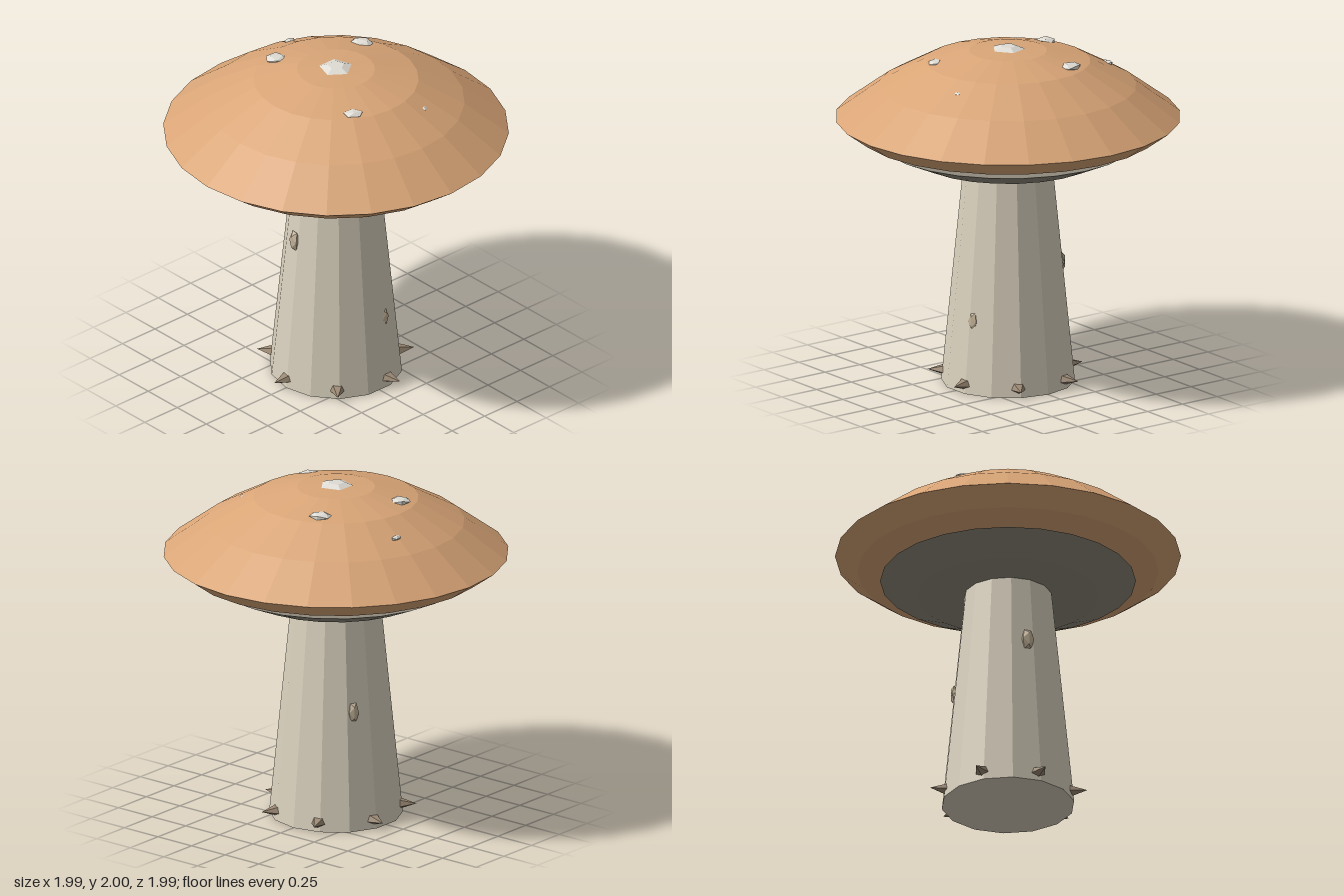
import * as THREE from 'three';

const mat = (color) => new THREE.MeshStandardMaterial({ color, flatShading: true });

function addMesh(parent, name, geometry, material, position = [0, 0, 0]) {
  const mesh = new THREE.Mesh(geometry, material);
  mesh.name = name;
  mesh.position.set(...position);
  parent.add(mesh);
  return mesh;
}

export function createModel() {
  const model = new THREE.Group();
  model.name = 'mushroom';
  const capMat = mat(0xd9a577);
  const gillMat = mat(0x8f8a7c);
  const stemMat = mat(0xd9d0bd);
  const spotMat = mat(0xdedcd4);
  const thornMat = mat(0x9c8a74);
  const bumpMat = mat(0xc4b49a);

  // Tapered stem
  addMesh(model, 'stem', new THREE.CylinderGeometry(0.245, 0.384, 1.4, 14), stemMat, [0, 0.7, 0]);

  // Gill disc under the cap
  addMesh(model, 'gills', new THREE.CylinderGeometry(0.735, 0.52, 0.095, 24), gillMat, [0, 1.373, 0]);

  // Domed cap with an undercut rim, listed from the bottom up
  const profile = [
    [0, 1.39], [0.5, 1.4], [0.61, 1.42], [0.865, 1.483], [0.994, 1.577],
    [0.74, 1.765], [0.475, 1.91], [0.224, 1.973], [0, 1.986],
  ].map(([r, y]) => new THREE.Vector2(r, y));
  addMesh(model, 'cap', new THREE.LatheGeometry(profile, 24), capMat);

  // Five-sided crown spot
  const crown = new THREE.CylinderGeometry(0.05, 0.098, 0.018, 5);
  crown.rotateY(Math.PI / 2);
  addMesh(model, 'crownSpot', crown, spotMat, [0, 1.991, 0]);

  // Flattened spots half sunk in the cap: x, y, z, then half sizes and turn
  const spots = [
    [-0.18, 1.929, -0.36, 0.07, 0.022, 0.055, 0.3],
    [-0.37, 1.932, 0.13, 0.065, 0.022, 0.06, 0.9],
    [0.37, 1.915, 0.2, 0.045, 0.02, 0.065, -0.6],
    [-0.59, 1.835, -0.17, 0.022, 0.014, 0.04, 0],
    [0.515, 1.853, -0.21, 0.025, 0.012, 0.025, 0.4],
  ];
  for (const [x, y, z, sx, sy, sz, turn] of spots) {
    const spot = addMesh(model, 'capSpot', new THREE.IcosahedronGeometry(1, 0), spotMat, [x, y, z]);
    spot.scale.set(sx, sy, sz);
    spot.rotation.y = turn;
  }

  // Tall bumps on the stem: angle from the front, height, radius, half sizes
  const bumps = [
    [-0.12, 0.925, 0.288, 0.04, 0.07, 0.03],
    [1.84, 0.425, 0.33, 0.034, 0.062, 0.02],
    [-2.12, 0.7, 0.308, 0.034, 0.065, 0.024],
  ];
  for (const [angle, y, r, sx, sy, sz] of bumps) {
    const bump = addMesh(model, 'stemBump', new THREE.IcosahedronGeometry(1, 0), bumpMat,
      [Math.sin(angle) * r, y, Math.cos(angle) * r]);
    bump.scale.set(sx, sy, sz);
    bump.rotation.y = angle;
  }

  // Ring of seven thorns pointing outward at the foot
  const thorn = new THREE.ConeGeometry(0.05, 0.11, 5);
  thorn.rotateX(Math.PI / 2);
  thorn.scale(1, 0.75, 1);
  for (let i = 0; i < 7; i++) {
    const angle = (i / 7) * Math.PI * 2 - 0.035;
    const r = 0.408;
    const mesh = addMesh(model, 'footThorn', thorn, thornMat,
      [Math.sin(angle) * r, 0.055, Math.cos(angle) * r]);
    mesh.rotation.y = angle;
  }

  return model;
}
